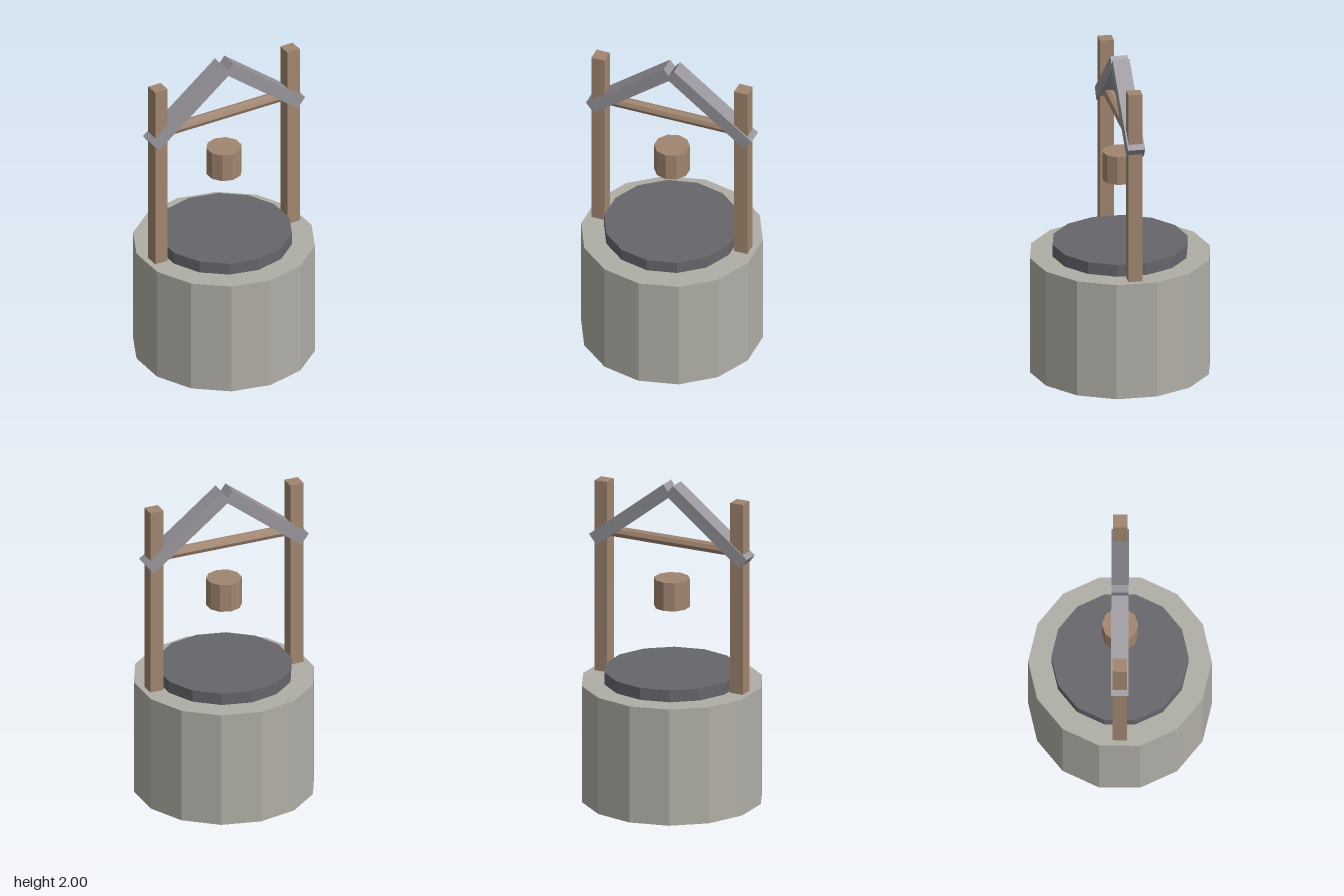
import * as THREE from 'three';

const material = (color) => new THREE.MeshStandardMaterial({ color, flatShading: true });

export function createModel() {
  const model = new THREE.Group();
  model.name = 'well';
  const stone = material(0xb0aea6);
  const darkStone = material(0x66656b);
  const wood = material(0xa08570);
  const slate = material(0x97959b);

  const add = (name, geometry, mat, x, y, z = 0, tilt = 0) => {
    const mesh = new THREE.Mesh(geometry, mat);
    mesh.name = name;
    mesh.position.set(x, y, z);
    mesh.rotation.z = tilt;
    model.add(mesh);
    return mesh;
  };

  // Round base and the dark disc that closes it
  add('wellBase', new THREE.CylinderGeometry(0.555, 0.555, 0.74, 14), stone, 0, 0.37);
  add('wellCover', new THREE.CylinderGeometry(0.415, 0.415, 0.08, 14), darkStone, 0, 0.776);

  // Posts and sloping roof beams, mirrored left and right
  for (const side of [1, -1]) {
    const label = side > 0 ? 'left' : 'right';
    add(label + 'Post', new THREE.BoxGeometry(0.086, 1.21, 0.086), wood, side * 0.463, 1.345);
    add(label + 'RoofBeam', new THREE.BoxGeometry(0.64, 0.083, 0.105), slate,
      side * 0.26, 1.77, 0, -side * THREE.MathUtils.degToRad(37.9));
  }

  // Winding bar between the posts and the bucket hanging below it
  add('windingBar', new THREE.CylinderGeometry(0.035, 0.035, 0.86, 8), wood, 0, 1.631, 0, Math.PI / 2);
  add('bucket', new THREE.CylinderGeometry(0.109, 0.109, 0.18, 10), wood, 0, 1.305);

  return model;
}
